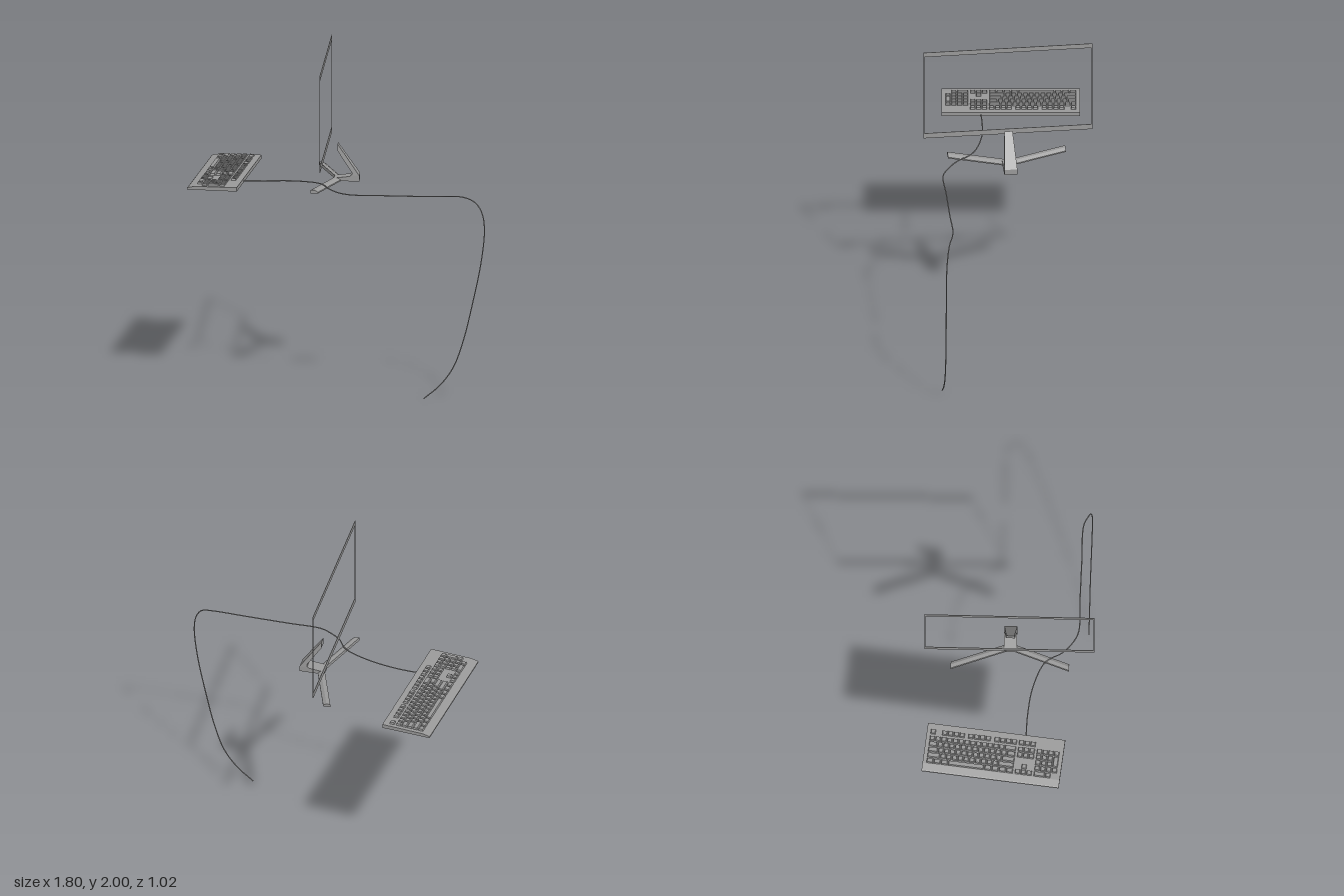
import * as THREE from 'three';
import { mergeGeometries } from 'three/addons/utils/BufferGeometryUtils.js';

const DESK = 1.235; // height of the desk level the devices rest on

const grey = new THREE.MeshStandardMaterial({ color: 0x999999 });
grey.name = 'grey';

function addMesh(parent, name, geometry, x = 0, y = 0, z = 0) {
  const mesh = new THREE.Mesh(geometry, grey);
  mesh.name = name;
  mesh.position.set(x, y, z);
  parent.add(mesh);
  return mesh;
}

// Extrude a profile given in x and y along z, starting at z = 0
function extrudeProfile(points, depth) {
  const shape = new THREE.Shape(points.map(([x, y]) => new THREE.Vector2(x, y)));
  return new THREE.ExtrudeGeometry(shape, { depth, bevelEnabled: false });
}

// Move every vertex by a rule, then renew the flat normals
function reshape(geometry, rule) {
  const p = geometry.attributes.position;
  const v = new THREE.Vector3();
  for (let i = 0; i < p.count; i++) {
    rule(v.fromBufferAttribute(p, i));
    p.setXYZ(i, v.x, v.y, v.z);
  }
  geometry.computeVertexNormals();
  return geometry;
}

// Thin open frame: wide rails above and below, slim ones at the sides
function createScreenFrame() {
  const frame = new THREE.Group();
  frame.name = 'screenFrame';
  const outline = new THREE.Shape([
    new THREE.Vector2(-0.51, 1.4), new THREE.Vector2(0.51, 1.4),
    new THREE.Vector2(0.51, 2), new THREE.Vector2(-0.51, 2),
  ]);
  outline.holes.push(new THREE.Path([
    new THREE.Vector2(-0.504, 1.434), new THREE.Vector2(-0.504, 1.97),
    new THREE.Vector2(0.504, 1.97), new THREE.Vector2(0.504, 1.434),
  ]));
  const geometry = new THREE.ExtrudeGeometry(outline, { depth: 0.003, bevelEnabled: false });
  geometry.rotateY(Math.PI / 2);
  addMesh(frame, 'bezel', geometry, -0.092, 0, 0);
  return frame;
}

// Leaning neck on a short foot, with two splayed arms
function createStand() {
  const stand = new THREE.Group();
  stand.name = 'stand';
  stand.position.set(0, DESK, 0.004);

  const neck = extrudeProfile([
    [-0.04, 0], [0.113, 0], [0.113, 0.035], [-0.018, 0.225],
    [-0.018, 0.183], [0.07, 0.051], [0.067, 0.039], [0.055, 0.03], [-0.04, 0.018],
  ], 1);
  reshape(neck, (v) => {
    const t = Math.max(0, (v.y - 0.035) / 0.19);
    v.z = (v.z - 0.5) * 2 * (0.039 - 0.015 * t);
  });
  addMesh(stand, 'neck', neck);

  for (const side of [1, -1]) {
    const arm = extrudeProfile([
      [-0.04, 0], [0.004, 0], [0.004, 0.008], [-0.016, 0.02], [-0.04, 0.02],
    ], 0.325);
    reshape(arm, (v) => { v.x -= v.z * 0.36; });
    addMesh(stand, side > 0 ? 'leftArm' : 'rightArm', arm, 0, 0, side * 0.03).scale.z = side;
  }
  return stand;
}

// Key widths by row from the user's edge outward; negative numbers are gaps
const ones = (n) => Array(n).fill(1);
const KEY_ROWS = [
  [1.25, 1.25, 1.25, 6.25, 1.25, 1.25, 1.25, 1.25, -0.25, ...ones(3), -0.25, 2, 1],
  [2.25, ...ones(10), 2.75, -1.25, 1, -1.25, ...ones(3)],
  [1.75, ...ones(11), 2.25, -3.5, ...ones(3)],
  [1.5, ...ones(12), 1.5, -0.25, ...ones(3), -0.25, ...ones(3)],
  [...ones(13), 2, -0.25, ...ones(3), -0.25, ...ones(4)],
  [1, -1, ...ones(4), -0.5, ...ones(4), -0.5, ...ones(4), -0.25, ...ones(3)],
];
const UNIT = 0.035;
const rowX = (row) => -0.085 + row * 0.0355 + (row === 5 ? 0.007 : 0);
const deckY = (x) => 0.021 + (x + 0.1) * 0.014;

// Tapered keycap standing on the deck
function keycap(x, z, depth, length) {
  const geometry = new THREE.BoxGeometry(depth - 0.004, 0.013, length - 0.004);
  reshape(geometry, (v) => {
    if (v.y > 0) {
      v.x -= Math.sign(v.x) * 0.004;
      v.z -= Math.sign(v.z) * 0.004;
    }
  });
  return geometry.translate(x, deckY(x) + 0.0045, z);
}

function createKeyboard() {
  const keyboard = new THREE.Group();
  keyboard.name = 'keyboard';
  keyboard.position.set(-0.707, DESK, -0.082);
  keyboard.rotation.y = -0.11;

  // Wedge body with a sloping palm rest
  const body = extrudeProfile([
    [-0.151, 0], [0.151, 0], [0.151, deckY(0.143)], [0.145, deckY(0.151)],
    [-0.105, deckY(-0.105)], [-0.145, 0.013], [-0.151, 0.009],
  ], 0.829);
  addMesh(keyboard, 'keyboardBody', body, 0, 0, -0.4145);

  const keys = [];
  KEY_ROWS.forEach((row, r) => {
    let z = -0.394;
    for (const units of row) {
      const length = Math.abs(units) * UNIT;
      if (units > 0) keys.push(keycap(rowX(r), z + length / 2, UNIT, length));
      z += length;
    }
  });
  // Two tall keys at the end of the number pad
  for (const r of [0.5, 2.5]) {
    if (r === 0.5) continue;
    keys.push(keycap(rowX(r), -0.394 + 22 * UNIT, UNIT * 2, UNIT));
  }
  keys.push(keycap(rowX(1), -0.394 + 22 * UNIT, UNIT, UNIT));
  addMesh(keyboard, 'keys', mergeGeometries(keys));

  // Small pads underneath
  for (const x of [-0.12, 0.12]) {
    for (const z of [-0.36, 0.36]) {
      addMesh(keyboard, 'footPad', new THREE.BoxGeometry(0.018, 0.003, 0.035), x, -0.001, z);
    }
  }
  return keyboard;
}

// Cable running along the desk, over the arm and down past the edge
function createCable() {
  const points = [
    [-0.585, 1.244, 0.111], [-0.455, 1.247, 0.116], [-0.287, 1.256, 0.14], [-0.142, 1.261, 0.193],
    [-0.094, 1.26, 0.231], [-0.046, 1.251, 0.313], [0.017, 1.243, 0.371], [0.094, 1.242, 0.41],
    [0.3, 1.242, 0.414], [0.55, 1.242, 0.419], [0.769, 1.242, 0.424], [0.844, 1.212, 0.452],
    [0.881, 1.153, 0.466], [0.895, 1.058, 0.474], [0.876, 0.862, 0.474], [0.823, 0.598, 0.47],
    [0.765, 0.36, 0.466], [0.706, 0.2, 0.464], [0.627, 0.09, 0.463], [0.528, 0.004, 0.462],
  ].map((p) => new THREE.Vector3(...p));
  const cable = new THREE.Group();
  cable.name = 'cable';
  const curve = new THREE.CatmullRomCurve3(points, false, 'centripetal');
  addMesh(cable, 'cord', new THREE.TubeGeometry(curve, 120, 0.0035, 8));
  for (const [end, t, sign] of [['cordStart', 0, -1], ['cordEnd', 1, 1]]) {
    const cap = addMesh(cable, end, new THREE.CircleGeometry(0.0035, 8));
    cap.position.copy(curve.getPointAt(t));
    cap.lookAt(cap.position.clone().addScaledVector(curve.getTangentAt(t), sign));
  }
  return cable;
}

export function createModel() {
  const model = new THREE.Group();
  model.name = 'deskSetup';
  model.add(createScreenFrame(), createStand(), createKeyboard(), createCable());
  return model;
}
